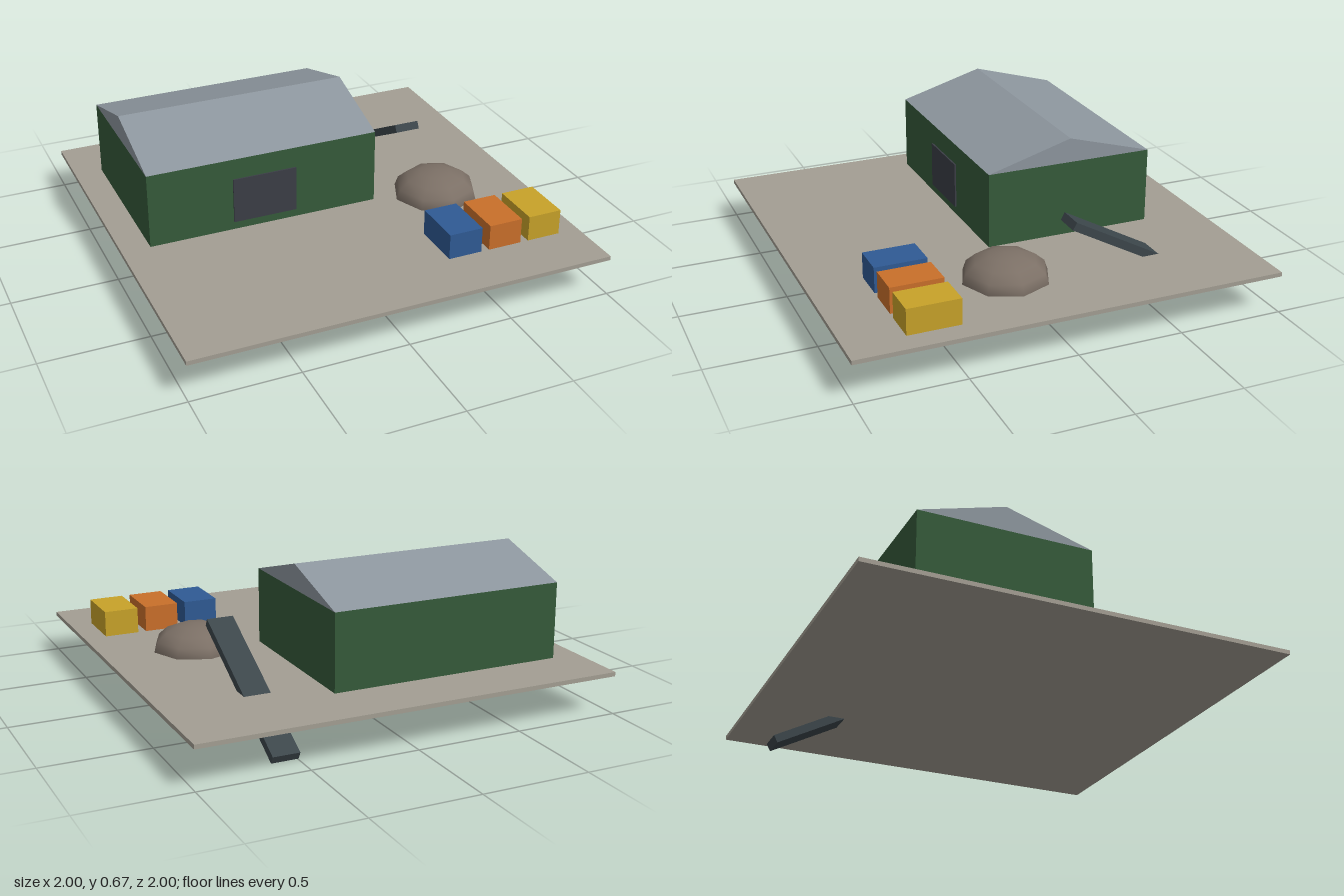
import * as THREE from 'three';

const mat = (name, color) => {
  const m = new THREE.MeshStandardMaterial({ color });
  m.name = name;
  return m;
};

export function createModel() {
  const model = new THREE.Group();
  model.name = 'yard';
  const ground = 0.2;

  const add = (name, geometry, material, x, y, z) => {
    const mesh = new THREE.Mesh(geometry, material);
    mesh.name = name;
    mesh.position.set(x, y, z);
    model.add(mesh);
    return mesh;
  };
  const box = (name, material, w, h, d, x, y, z) =>
    add(name, new THREE.BoxGeometry(w, h, d), material, x, y, z);

  // Ground slab
  box('groundSlab', mat('concrete', 0xa39e93), 2, 0.02, 2, 0, ground - 0.01, 0);

  // Shed walls
  const length = 1.12, depth = 0.815, wall = 0.36;
  const shedX = -0.305, shedZ = -0.307;
  box('shedWalls', mat('green cladding', 0x355a3a), length, wall, depth, shedX, ground + wall / 2, shedZ);

  // Gabled roof: triangular section extruded along x
  const gable = new THREE.Shape([
    new THREE.Vector2(-depth / 2, 0),
    new THREE.Vector2(depth / 2, 0),
    new THREE.Vector2(0, 0.117),
  ]);
  const roof = new THREE.ExtrudeGeometry(gable, { depth: length, bevelEnabled: false });
  roof.translate(0, 0, -length / 2).rotateY(Math.PI / 2);
  add('shedRoof', roof, mat('grey roofing', 0x8d969e), shedX, ground + wall, shedZ);

  // Door panel on the front wall
  box('shedDoor', mat('dark door', 0x3b3e46), 0.31, 0.22, 0.008, shedX, 0.35, 0.104);

  // Sloping conveyor that passes through the slab
  const conveyor = box('conveyor', mat('dark steel', 0x3c464b), 0.124, 0.039, 0.82, 0.558, 0.216, -0.517);
  conveyor.rotation.x = -0.5;

  // Rubble heap: squashed half sphere
  const heap = new THREE.SphereGeometry(0.205, 8, 4, 0, Math.PI * 2, 0, Math.PI / 2);
  const heapMaterial = mat('rubble', 0x7c7066);
  heapMaterial.side = THREE.DoubleSide;
  add('rubbleHeap', heap, heapMaterial, 0.56, ground, 0.15).scale.y = 0.585;

  // Row of coloured skips
  [['blue', 0x2f5a94], ['orange', 0xc96f2a], ['yellow', 0xc7a229]].forEach(([name, color], i) =>
    box(name + 'Skip', mat(name + ' paint', color), 0.163, 0.122, 0.246, 0.407 + i * 0.203, ground + 0.061, 0.61));

  return model;
}
